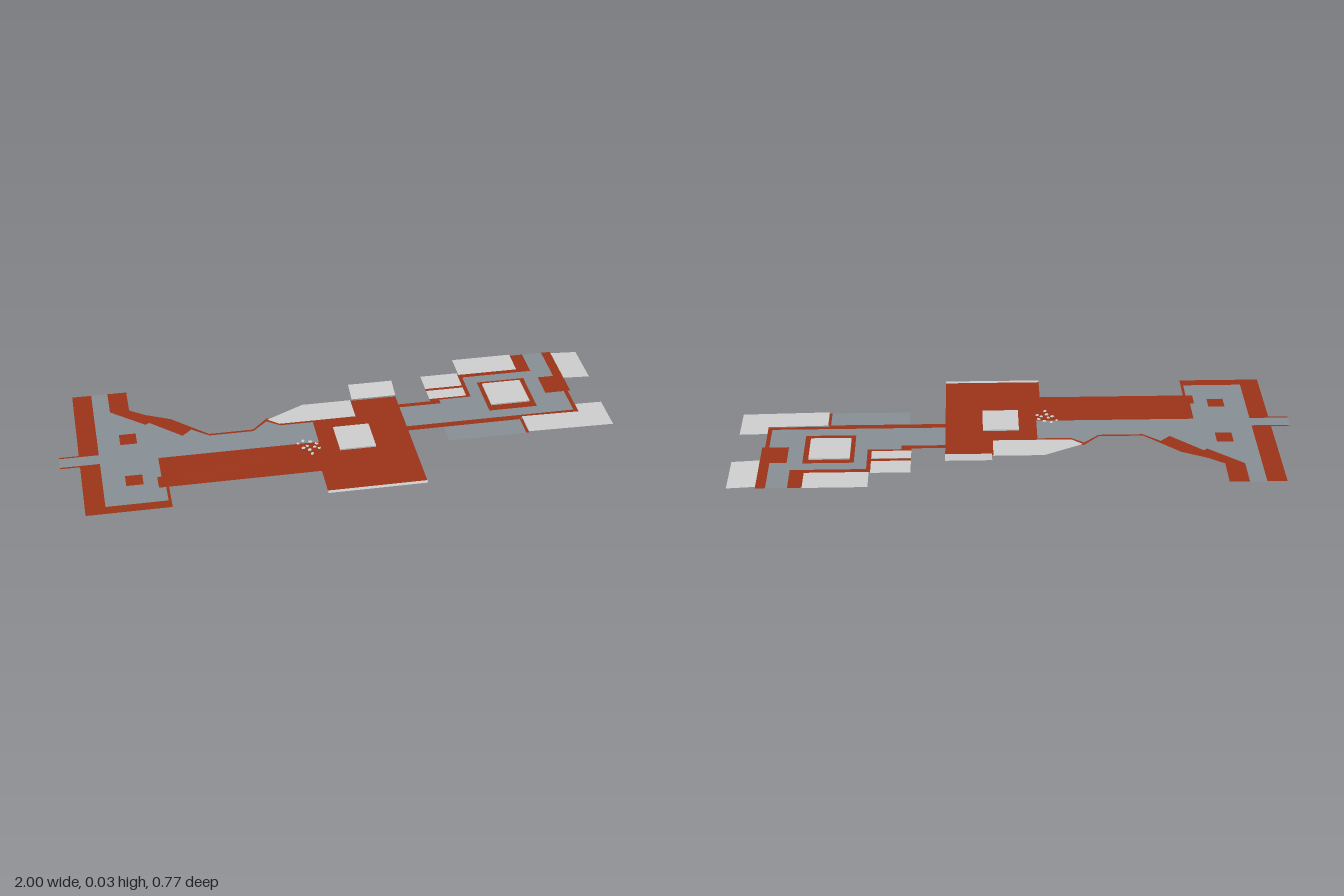
import * as THREE from 'three';

const red = new THREE.MeshStandardMaterial({ color: 0x993317, side: THREE.DoubleSide });
const slate = new THREE.MeshStandardMaterial({ color: 0x868e93, side: THREE.DoubleSide });
const pale = new THREE.MeshStandardMaterial({ color: 0xcccccc, side: THREE.DoubleSide });
const FLOOR = 0.005;

// Plan points are [x, z] in hundredths of a unit
const toPoints = (pts) => pts.map(([x, z]) => new THREE.Vector2(x / 100, -z / 100));
const rect = (x0, z0, x1, z1) => [[x0, z0], [x1, z0], [x1, z1], [x0, z1]];

export function createModel() {
  const model = new THREE.Group();

  // Flat sheet, optionally with holes and a height rule for ramps
  function sheet(name, material, pts, holes = [], height = () => FLOOR) {
    const shape = new THREE.Shape(toPoints(pts));
    holes.forEach((h) => shape.holes.push(new THREE.Path(toPoints(h))));
    const geometry = new THREE.ShapeGeometry(shape).rotateX(-Math.PI / 2);
    const p = geometry.attributes.position;
    for (let i = 0; i < p.count; i++) p.setY(i, height(p.getX(i), p.getZ(i)));
    geometry.computeVertexNormals();
    const mesh = new THREE.Mesh(geometry, material);
    mesh.name = name;
    model.add(mesh);
  }
  // Straight-line height between two stations
  const slope = (a, ya, b, yb) => (t) => ya + ((t - a / 100) / ((b - a) / 100)) * (yb - ya);
  const alongX = (...s) => (x) => slope(...s)(x);
  const alongZ = (...s) => (x, z) => slope(...s)(z);

  // West yard and walkway, with two planters
  const planters = [rect(-78, -10.5, -72, -4), rect(-78, 15.5, -72, 21.5)];
  sheet('westFloor', slate, [
    [-86, -38.5], [-80, -38.5], [-80, -26], [-68, -15.5], [-66.5, -16.5], [-55.5, -6], [-52, -9.5],
    [-46, -4.5], [-30, -4.5], [-24.5, -10], [-20, -6.5], [-8, -6.5], [-8, 6.5], [-65.5, 6.5],
    [-65.5, 18], [-67, 18], [-67, 24.5], [-64.5, 24.5], [-64.5, 32.5], [-86, 32.5], [-86, 6.5],
    [-100, 6.5], [-100, 1], [-86, 1],
  ], planters);
  planters.forEach((p) => sheet('planter', red, p));

  // Red borders around the west yard, and the central court
  sheet('northWestBorder', red, [
    [-93, -38.5], [-86, -38.5], [-86, 1], [-100, 1], [-100, 0.3], [-93, 0.3],
  ]);
  sheet('northBank', red, [
    [-80, -38.5], [-73, -38.5], [-73, -26], [-67.5, -22], [-58.5, -17.5], [-46, -5.5], [-30, -5.5],
    [-24, -12], [-20, -7.5], [-8, -7.5], [-8, -6.5], [-20, -6.5], [-24.5, -10], [-30, -4.5],
    [-46, -4.5], [-52, -9.5], [-55.5, -6], [-66.5, -16.5], [-68, -15.5], [-80, -26],
  ]);
  sheet('centralCourt', red, [
    [-100, 6.5], [-86, 6.5], [-86, 32.5], [-64.5, 32.5], [-64.5, 24.5], [-67, 24.5], [-67, 18],
    [-65.5, 18], [-65.5, 6.5], [-8, 6.5], [-8, -7.5], [8, -7.5], [8, -18], [25, -18], [25, 36.5],
    [-10, 36.5], [-10, 24.5], [-63.5, 24.5], [-63.5, 36.5], [-93, 36.5], [-93, 7.3], [-100, 7.3],
  ]);

  // East floor around a red square
  const square = rect(57, -22, 75, -2.5);
  sheet('eastFloor', slate, [
    [25, -10.5], [40.5, -10.5], [40.5, -13], [52.5, -13], [52.5, -26.5], [79, -26.5], [79, -38.5],
    [86.5, -38.5], [86.5, -21.5], [80.5, -21.5], [80.5, -10.5], [87.5, -10.5], [87.5, 2.3], [25, 2.3],
  ], [square]);
  sheet('eastSquare', red, square);
  sheet('eastNorthBorder', red, [
    [25, -12.5], [37, -12.5], [37, -14], [51, -14], [51, -28.5], [74, -28.5], [74, -38.5], [79, -38.5],
    [79, -26.5], [52.5, -26.5], [52.5, -13], [40.5, -13], [40.5, -10.5], [25, -10.5],
  ]);
  sheet('eastSouthBorder', red, [
    [86.5, -38.5], [90, -38.5], [90, -10.5], [89, -10.5], [89, 4], [67, 4], [67, 5], [25, 5],
    [25, 2.3], [87.5, 2.3], [87.5, -10.5], [80.5, -10.5], [80.5, -21.5], [86.5, -21.5],
  ]);

  // Outer aprons and ramps
  sheet('northApron', pale, [[-24, -11], [-10, -18.5], [8, -18.5], [8, -7.5], [-20, -7.5]]);
  sheet('northRamp', pale, rect(8.5, -25.5, 25, -18), [], alongZ(-25.5, 0.028, -18, 0.011));
  sheet('southLip', pale, rect(-10, 36.5, 25, 38));
  sheet('innerRamp', pale, rect(37, -29.5, 51, -21), [], alongZ(-29.5, 0.007, -21, 0.005));
  sheet('rampCurb', red, rect(37, -21, 51, -19.5));
  sheet('innerRamp', pale, rect(37, -19.5, 51, -14), [], alongZ(-19.5, 0.006, -14, 0.005));
  sheet('northEastApron', pale, rect(51.5, -39, 74, -28.5), [], alongZ(-39, 0.007, -28.5, 0.005));
  sheet('eastRamp', pale, rect(90, -37.5, 100, -19.5), [], alongX(90, 0.005, 100, 0));
  sheet('southEastRamp', pale, [[67.5, 4], [89, 4], [89, -1], [99, -1], [99, 14], [67.5, 14]], [],
    alongX(67.5, 0.01, 99, 0.005));
  sheet('southApron', slate, rect(38, 5, 66.5, 14));
  sheet('southCurb', red, rect(66.5, 5, 67.5, 14), [], () => 0.0055);

  // Raised slabs
  function slab(name, x0, z0, x1, z1) {
    const mesh = new THREE.Mesh(new THREE.BoxGeometry((x1 - x0) / 100, 0.005, (z1 - z0) / 100), pale);
    mesh.position.set((x0 + x1) / 200, 0.0095, (z0 + z1) / 200);
    mesh.name = name;
    model.add(mesh);
  }
  slab('centralSlab', -1.5, -1, 11.5, 13.5);
  slab('eastSlab', 58.5, -20, 73, -5.5);

  // Scattered small stones beside the court
  const stones = [[-15.5, 6.5], [-13.5, 5], [-11, 6], [-9, 7.5], [-12.5, 8.5], [-14, 9.5], [-10, 9.5],
    [-12, 11], [-11.5, 13.5], [-8.5, 10.5]];
  const stoneGeometry = new THREE.IcosahedronGeometry(0.009, 0);
  stones.forEach(([x, z], i) => {
    const stone = new THREE.Mesh(stoneGeometry, pale);
    stone.name = 'stone';
    stone.position.set(x / 100, 0.006, z / 100);
    stone.scale.set(0.7 + 0.15 * (i % 3), 0.4, 0.7 + 0.1 * (i % 4));
    stone.rotation.y = i * 1.3;
    model.add(stone);
  });

  return model;
}
